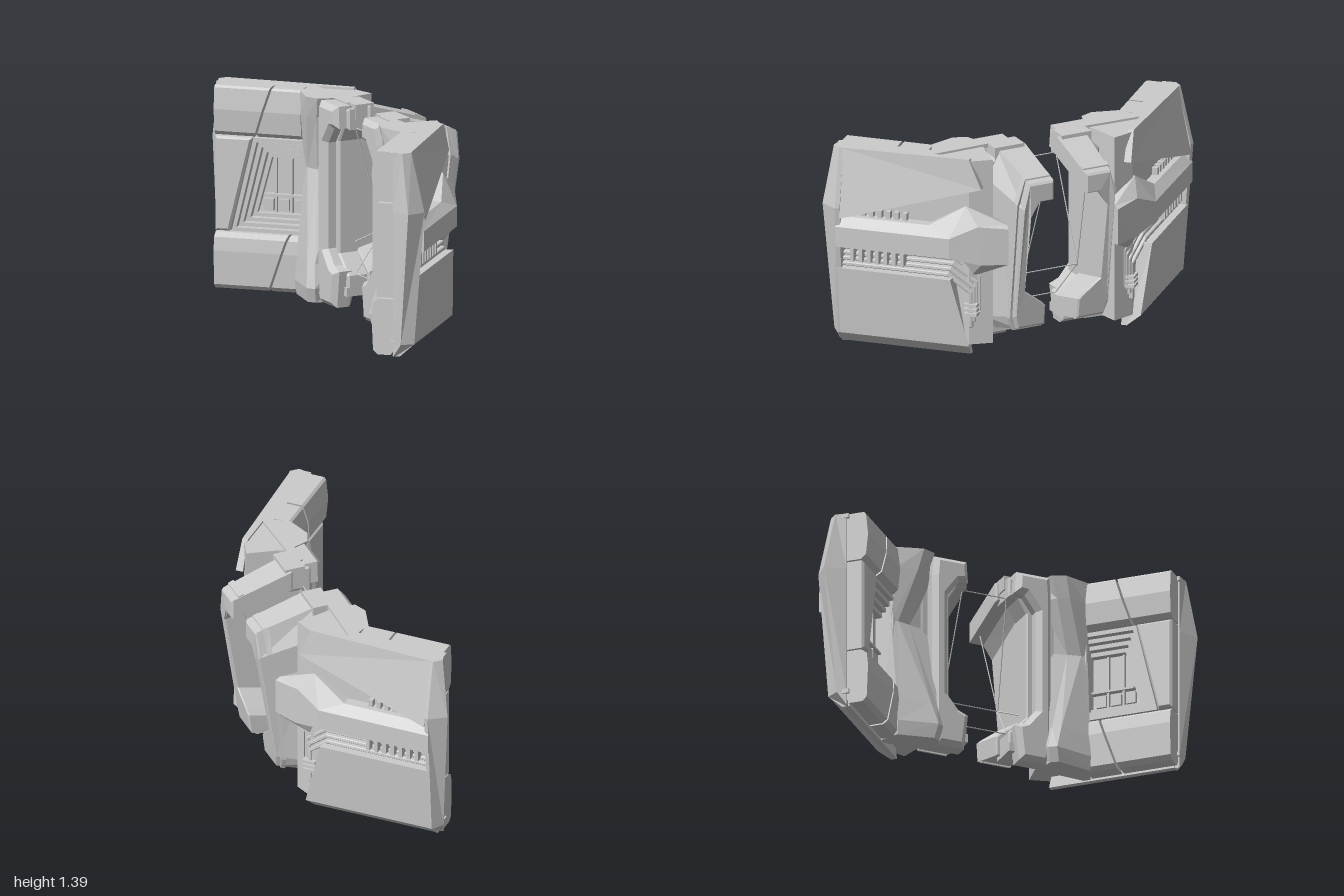
import * as THREE from 'three';

const grey = new THREE.MeshStandardMaterial({ color: 0xcccccc, flatShading: true });

function addMesh(parent, name, geo) {
  if (geo.index) geo = geo.toNonIndexed();
  geo.computeVertexNormals();
  const mesh = new THREE.Mesh(geo, grey);
  mesh.name = name;
  parent.add(mesh);
  return mesh;
}

// Closed solid through rings of [x, y, z] points, faces turned outwards
function loft(parent, name, rings) {
  const R = rings.map(r => r.map(p => new THREE.Vector3(...p)));
  const tris = [], n = R[0].length;
  const cap = (ring, flip) => {
    const nor = new THREE.Vector3();
    ring.forEach((p, i) => nor.add(p.clone().cross(ring[(i + 1) % n])));
    nor.normalize();
    const e1 = new THREE.Vector3(Math.abs(nor.x) > 0.8 ? 0 : 1, 0, Math.abs(nor.x) > 0.8 ? 1 : 0).cross(nor).normalize();
    const e2 = nor.clone().cross(e1);
    const flat = ring.map(p => new THREE.Vector2(p.dot(e1), p.dot(e2)));
    for (const [a, b, c] of THREE.ShapeUtils.triangulateShape(flat, []))
      tris.push(flip ? [ring[a], ring[c], ring[b]] : [ring[a], ring[b], ring[c]]);
  };
  cap(R[0], true);
  for (let i = 0; i + 1 < R.length; i++)
    for (let j = 0; j < n; j++) {
      const k = (j + 1) % n;
      tris.push([R[i][j], R[i][k], R[i + 1][k]], [R[i][j], R[i + 1][k], R[i + 1][j]]);
    }
  cap(R[R.length - 1], false);
  const vol = tris.reduce((s, [a, b, c]) => s + a.dot(b.clone().cross(c)), 0);
  const pts = tris.flatMap(([a, b, c]) => (vol < 0 ? [a, c, b] : [a, b, c]));
  return addMesh(parent, name, new THREE.BufferGeometry().setFromPoints(pts));
}

// Upright plate: outline in x-y, between z0 and z1, chamfered, optionally bent by a rule
function plate(parent, name, pts, z0, z1, bevel = 0, hole = null, warp = null) {
  const shape = new THREE.Shape(pts.map(p => new THREE.Vector2(...p)));
  if (hole) shape.holes.push(new THREE.Path(hole.map(p => new THREE.Vector2(...p))));
  const geo = new THREE.ExtrudeGeometry(shape, {
    depth: z1 - z0 - 2 * bevel, bevelEnabled: bevel > 0, bevelThickness: bevel,
    bevelSize: bevel, bevelOffset: -bevel, bevelSegments: 1,
  }).translate(0, 0, z0 + bevel);
  if (warp) {
    const pos = geo.attributes.position, v = new THREE.Vector3();
    for (let i = 0; i < pos.count; i++) {
      warp(v.fromBufferAttribute(pos, i));
      pos.setXYZ(i, v.x, v.y, v.z);
    }
  }
  return addMesh(parent, name, geo);
}

// Profile of [y, z] points swept along x between two slanted ends
const sweep = (parent, name, profile, left, right) =>
  loft(parent, name, [left, right].map(f => profile.map(([y, z]) => [f(y), y, z])));

const box = (parent, name, x0, x1, y0, y1, z0, z1) =>
  addMesh(parent, name, new THREE.BoxGeometry(x1 - x0, y1 - y0, z1 - z0)
    .translate((x0 + x1) / 2, (y0 + y1) / 2, (z0 + z1) / 2));

const rod = (parent, name, a, b) => addMesh(parent, name,
  new THREE.TubeGeometry(new THREE.LineCurve3(new THREE.Vector3(...a), new THREE.Vector3(...b)), 1, 0.004, 5));

const line = (y0, x0, y1, x1) => y => x0 + (x1 - x0) * (y - y0) / (y1 - y0);
const at = x => () => x;

function wallOutside(g) {
  // End fin, folded outwards at mid height
  loft(g, 'endFin', [
    [0.01, -0.89, -0.80, -0.83], [0.1, -0.94, -0.85, -0.93],
    [1.0, -1.0, -0.92, -1.0], [1.4, -0.94, -0.86, -0.91],
  ].map(([y, tip, zTip, zOut]) => [[tip, y, zTip], [-0.89, y, zOut], [-0.86, y, zOut + 0.01], [-0.86, y, -0.79], [-0.92, y, -0.79]]));
  // Lower armour panel
  loft(g, 'lowerPanel', [[-0.89, -0.89, -0.89, -0.89, -0.89], [0, 0.02, -0.1, -0.1, 0]].map(xs =>
    [[0.01, -0.82], [0.1, -0.925], [0.57, -0.965], [0.57, -0.82], [0.01, -0.78]].map(([y, z], i) => [xs[i], y, z])));
  // Upper slanted panel
  const upper = [[-0.89, 1.4, -0.905], [0, 1.4, -0.87], [0.09, 1.2, -0.88], [-0.86, 0.93, -0.995]];
  loft(g, 'upperPanel', [upper, upper.map(([x, y]) => [x, y, -0.83])]);
  // Middle beam widening into a faceted head
  loft(g, 'middleBeam', [
    [[-0.89, 0.70, -0.84], [-0.89, 0.73, -0.995], [-0.89, 0.87, -0.995], [-0.89, 0.93, -0.94], [-0.89, 0.93, -0.84]],
    [[-0.13, 0.70, -0.84], [-0.1, 0.73, -0.99], [-0.1, 0.87, -0.99], [-0.26, 0.93, -0.93], [-0.26, 0.93, -0.82]],
    [[0, 0.56, -0.83], [0.1, 0.68, -0.915], [0.08, 0.95, -0.92], [-0.02, 1.07, -0.87], [-0.02, 1.07, -0.8]],
    [[0.16, 0.66, -0.72], [0.27, 0.68, -0.845], [0.27, 0.93, -0.845], [0.25, 0.95, -0.82], [0.16, 0.95, -0.72]],
  ]);
  // Conduits under the beam, bending down and sinking in towards the doorway
  const sink = v => { if (v.z < -0.85) v.z += 0.3 * Math.max(0, v.x + 0.14); };
  for (let i = 0; i < 4; i++) {
    const y = 0.575 + i * 0.035, d = i * 0.015;
    plate(g, 'conduit', [[-0.89, y], [-0.14 + d, y], [0.0 + d, y - 0.12], [0.0 + d, y - 0.36], [0.025 + d, y - 0.36],
      [0.025 + d, y - 0.11], [-0.13 + d, y + 0.025], [-0.89, y + 0.025]], -0.92 + i * 0.01, -0.83, 0.005, null, sink);
  }
  for (let i = 0; i < 7; i++) {
    const x = -0.8 + i * 0.058;
    box(g, 'lowerRib', x, x + 0.026, 0.62, 0.71, -0.95, -0.84);
    box(g, 'upperRib', x, x + 0.03, 0.93, 0.98, -0.9, -0.84);
  }
  for (let i = 0; i < 3; i++) box(g, 'pipeClamp', -0.03, 0.06, 0.3 + i * 0.032, 0.32 + i * 0.032, -0.89, -0.8);
}

function wallInside(g) {
  // Upper and lower pads, each split by a slanted gap
  const pads = [
    ['upperPad', [[1.06, -0.84], [1.06, -0.69], [1.09, -0.655], [1.24, -0.64], [1.385, -0.655], [1.4, -0.67], [1.4, -0.84]], [1.06, -0.63, 1.4, -0.52]],
    ['lowerPad', [[0.02, -0.77], [0.02, -0.68], [0.05, -0.65], [0.28, -0.64], [0.37, -0.65], [0.4, -0.69], [0.4, -0.84], [0.12, -0.84]], [0.02, -0.53, 0.4, -0.4]],
  ];
  for (const [name, profile, [y0, x0, y1, x1]] of pads) {
    sweep(g, name, profile, at(-0.91), line(y0, x0 - 0.008, y1, x1 - 0.008));
    sweep(g, name, profile, line(y0, x0 + 0.008, y1, x1 + 0.008), at(-0.31));
  }
  plate(g, 'sidePanel', [[-0.91, 0.41], [-0.81, 0.41], [-0.655, 1.05], [-0.91, 1.05]], -0.84, -0.67, 0.015);
  // Stepped recess
  const recess = t => [[-0.8 + 0.16 * t, 0.41 + 0.12 * t], [-0.28, 0.41 + 0.12 * t], [-0.28, 1.05 - 0.15 * t], [-0.65 + 0.11 * t, 1.05 - 0.15 * t]];
  const opening = t => recess(t).map(([x, y]) => [x === -0.28 ? -0.3 : x, y]);
  for (let i = 0; i < 4; i++)
    plate(g, 'recessStep', recess(i / 4), -0.85, -0.69 - i * 0.028, 0, opening((i + 0.8) / 4));
  for (const x of [-0.53, -0.42]) box(g, 'recessUpright', x, x + 0.012, 0.53, 0.9, -0.84, -0.79);
  box(g, 'recessCrossbar', -0.6, -0.3, 0.64, 0.655, -0.84, -0.78);
  for (let i = 0; i < 3; i++) box(g, 'recessBox', -0.61 + i * 0.105, -0.54 + i * 0.105, 0.54, 0.62, -0.84, -0.79);
  // Buttress, pinched back above mid height
  loft(g, 'buttress', [
    [0.02, -0.34, -0.65, -0.2, -0.44, -0.14, -0.43],
    [0.12, -0.35, -0.64, -0.2, -0.41, -0.14, -0.40],
    [0.28, -0.34, -0.65, -0.21, -0.46, -0.15, -0.44],
    [0.88, -0.30, -0.71, -0.27, -0.67, -0.19, -0.62],
    [1.25, -0.32, -0.66, -0.24, -0.54, -0.16, -0.51],
    [1.4, -0.32, -0.66, -0.23, -0.5, -0.14, -0.46],
  ].map(([y, x0, z0, x1, z1, x2, z2]) => [[x0, y, z0], [x1, y, z1], [x2, y, z2], [-0.02, y, -0.52], [-0.28, y, -0.82]]));
}

// Doorway side: local x runs towards the opening, local -z outwards
function doorway(g) {
  const d = new THREE.Group();
  d.name = 'doorwaySide';
  d.rotation.y = -Math.PI / 4;
  g.add(d);
  // C-shaped outline: outer edge o, opening edge i, hooks reaching to e
  const hook = (o, top, bottom, i, e, cut) => [[o, bottom + 0.09], [o + 0.06, bottom], [e, bottom], [e, bottom + 0.14],
    [e - 0.03, bottom + 0.17], [i, bottom + 0.27], [i, top - 0.24], [i + 0.06, top - 0.14], [e, top - 0.14], [e, top],
    [o + 0.1, top], [o, top - cut]];
  plate(d, 'innerFrame', hook(-0.42, 1.37, 0.1, -0.28, -0.15, 0.1), -0.5, -0.31, 0.012);
  // Guard on the room side, bending out at head and foot
  plate(d, 'innerGuard', [[-0.43, 0.1], [-0.4, 0.02], [-0.2, 0.02], [-0.17, 0.27], [-0.24, 0.3], [-0.32, 0.4], [-0.32, 1.12],
    [-0.24, 1.23], [-0.17, 1.24], [-0.18, 1.39], [-0.42, 1.39], [-0.43, 1.25]], -0.38, -0.22, 0.035);
  // Outer frame: jamb thins outwards, leans back, and its hood drops
  const lean = v => {
    const k = Math.max(0, (-v.z - 0.45) / 0.44);
    v.x += k * 0.09 * THREE.MathUtils.clamp((-0.28 - v.x) / 0.15, 0, 1);
    v.z += k * 0.12 * Math.max(0, 1.25 - v.y);
    v.y += v.y > 0.8 ? -k * 0.13 : k * 0.08;
  };
  plate(d, 'outerFrame', hook(-0.43, 1.39, 0.12, -0.28, -0.12, 0.18), -0.89, -0.45, 0.012, null, lean);
  plate(d, 'frameBand', hook(-0.445, 1.4, 0.11, -0.285, -0.125, 0.18), -0.84, -0.8, 0, null, lean);
  box(d, 'hoodCap', -0.36, -0.14, 1.3, 1.4, -0.5, -0.36);
  box(d, 'threshold', -0.42, -0.15, 0.1, 0.16, -0.5, -0.3);
  // Stay wires
  const mid = [-0.2, 0.52, -0.6];
  for (const p of [[-0.16, 1.24, -0.37], [-0.16, 0.25, -0.37], [-0.3, 0.42, -0.4], [-0.16, 1.16, -0.8]]) rod(d, 'stayWire', p, mid);
}

// Reflects a copy of the half across the diagonal, turning its faces the right way
function reflected(half) {
  const out = new THREE.Group();
  half.updateMatrixWorld(true);
  const m = new THREE.Matrix4().set(0, 0, -1, 0, 0, 1, 0, 0, -1, 0, 0, 0, 0, 0, 0, 1);
  half.traverse(o => {
    if (!o.isMesh) return;
    const geo = o.geometry.clone().applyMatrix4(m.clone().multiply(o.matrixWorld));
    const src = geo.attributes.position, pts = [];
    for (let i = 0; i < src.count; i += 3)
      for (const k of [0, 2, 1]) pts.push(new THREE.Vector3().fromBufferAttribute(src, i + k));
    addMesh(out, o.name, new THREE.BufferGeometry().setFromPoints(pts));
  });
  return out;
}

export function createModel() {
  const model = new THREE.Group();
  model.name = 'cornerWallWithDoorway';
  const half = new THREE.Group();
  half.name = 'rightWall';
  // Wall core, bent towards the doorway
  const plan = [[-0.92, -0.86], [0, -0.86], [0.14, -0.78], [0.02, -0.6], [-0.02, -0.5], [-0.1, -0.56], [-0.3, -0.82], [-0.92, -0.82]];
  loft(half, 'wallCore', [0.09, 1.385].map(y => plan.map(([x, z]) => [x, y, z])));
  const trim = [[-0.93, -0.85], [-0.27, -0.85], [0.13, -0.43], [0.08, -0.4], [-0.3, -0.77], [-0.93, -0.77]];
  loft(half, 'topTrim', [1.37, 1.4].map(y => trim.map(([x, z]) => [x, y, z])));
  loft(half, 'bottomTrim', [0.09, 0.12].map(y => trim.map(([x, z]) => [x, y, z])));
  wallOutside(half);
  wallInside(half);
  doorway(half);
  const other = reflected(half);
  other.name = 'leftWall';
  model.add(half, other);
  // Wires spanning the opening
  const span = (s, n, y) => [(s + n) / Math.SQRT2, y, (s - n) / Math.SQRT2];
  for (const [n, y, s] of [[0.37, 1.24, 0.16], [0.37, 0.25, 0.16], [0.6, 0.52, 0.2]])
    rod(model, 'spanWire', span(-s, n, y), span(s, n, y));
  return model;
}
